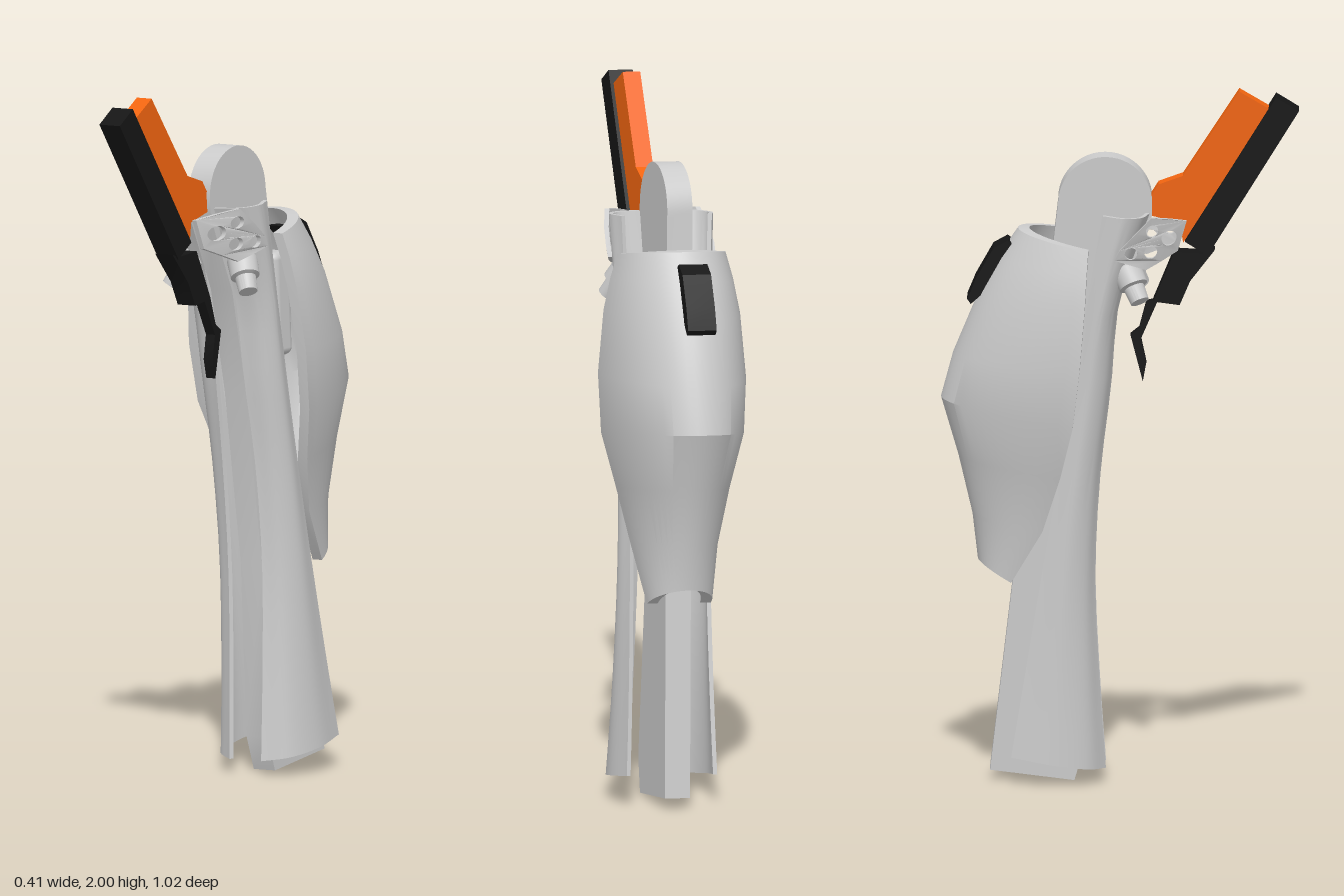
import * as THREE from 'three';
import { toCreasedNormals } from 'three/addons/utils/BufferGeometryUtils.js';
import { RoundedBoxGeometry } from 'three/addons/geometries/RoundedBoxGeometry.js';

const grey = new THREE.MeshStandardMaterial({ color: 0xcccccc, side: THREE.DoubleSide });
const black = new THREE.MeshStandardMaterial({ color: 0x161616 });
const orange = new THREE.MeshStandardMaterial({ color: 0xf26510 });
const lerp = THREE.MathUtils.lerp;

function mesh(name, geometry, material) {
  const m = new THREE.Mesh(geometry, material);
  m.name = name;
  return m;
}

// Side profile in (z, y), given a width across x
function slab(name, points, width, material) {
  const shape = new THREE.Shape(points.map(([z, y]) => new THREE.Vector2(z, y)));
  const g = new THREE.ExtrudeGeometry(shape, { depth: width, bevelEnabled: false });
  g.translate(0, 0, -width / 2).rotateY(-Math.PI / 2);
  return mesh(name, toCreasedNormals(g, 0.5), material);
}

// Thick open shell lofted through rows of points, top row first
function shell(name, rows, thickness) {
  const n = rows[0].length;
  const rings = rows.map(row => {
    const inner = row.map((p, i) => {
      const d = row[Math.min(i + 1, n - 1)].clone().sub(row[Math.max(i - 1, 0)]).setY(0).normalize();
      return new THREE.Vector3(p.x + d.z * thickness, p.y, p.z - d.x * thickness);
    });
    return [...row, ...inner.reverse()];
  });
  const pos = [];
  const quad = (a, b, c, d) => [a, b, c, a, c, d].forEach(p => pos.push(p.x, p.y, p.z));
  const m = 2 * n;
  for (let r = 0; r < rings.length - 1; r++) {
    const p = rings[r], q = rings[r + 1];
    for (let i = 0; i < m; i++) {
      const j = (i + 1) % m;
      quad(p[i], q[i], q[j], p[j]);
    }
  }
  const top = rings[0], end = rings[rings.length - 1];
  for (let i = 0; i < n - 1; i++) {
    quad(top[i], top[i + 1], top[m - 2 - i], top[m - 1 - i]);
    quad(end[i], end[m - 1 - i], end[m - 2 - i], end[i + 1]);
  }
  const g = new THREE.BufferGeometry();
  g.setAttribute('position', new THREE.Float32BufferAttribute(pos, 3));
  return mesh(name, toCreasedNormals(g, 0.4), grey);
}

// Half-oval calf cover: [front y, front z, back y, back z, half width]
function calfCover() {
  const rows = [
    [1.56, -0.09, 1.6, -0.29, 0.155],
    [1.49, -0.095, 1.52, -0.345, 0.175],
    [1.4, -0.1, 1.42, -0.4, 0.193],
    [1.22, -0.115, 1.24, -0.475, 0.207],
    [1.05, -0.135, 1.11, -0.51, 0.197],
    [0.9, -0.17, 0.94, -0.46, 0.158],
    [0.74, -0.22, 0.77, -0.42, 0.122],
    [0.585, -0.31, 0.64, -0.405, 0.095],
  ].map(([yF, zF, yB, zB, w]) => Array.from({ length: 29 }, (_, i) => {
    const a = Math.PI * i / 28, s = Math.sin(a);
    return new THREE.Vector3(w * Math.cos(a), lerp(yF, yB, s), lerp(zF, zB, s));
  }));
  return shell('calfCover', rows, 0.032);
}

// Curved shin plate, swept back towards the heel
function shinPlate() {
  const front = new THREE.CatmullRomCurve3([
    [0.045, 1.65, 0.085], [0.045, 1.4, 0], [0.05, 1.15, -0.025], [0.058, 0.9, -0.055],
    [0.06, 0.6, -0.07], [0.058, 0.3, -0.058], [0.056, 0.04, -0.04],
  ].map(p => new THREE.Vector3(...p)));
  const rows = [];
  for (let r = 0; r <= 16; r++) {
    const v = r / 16, f = front.getPoint(v);
    const yB = lerp(1.66, 0.085, v), zB = lerp(-0.05, -0.31, v);
    const w = 0.135 + 0.018 * Math.pow(2 * v - 1, 2);
    const d = zB - f.z;
    const section = new THREE.CatmullRomCurve3([
      new THREE.Vector3(f.x, f.y, f.z),
      new THREE.Vector3(w * 0.8, lerp(f.y, yB, 0.18), f.z + d * 0.18),
      new THREE.Vector3(w, lerp(f.y, yB, 0.55), f.z + d * 0.55),
      new THREE.Vector3(w * 0.88, yB, zB),
    ]);
    rows.push(section.getPoints(16));
  }
  return shell('shinPlate', rows, 0.012);
}

// Perforated knee bracket, bent around the knee
function kneeBracket() {
  const outline = [[0.19, 1.63], [0.14, 1.645], [0.09, 1.655], [0.045, 1.61], [0, 1.565],
    [-0.015, 1.535], [0.03, 1.518], [0.075, 1.5], [0.12, 1.522], [0.165, 1.545]];
  const shape = new THREE.Shape(outline.map(p => new THREE.Vector2(...p)));
  for (const [z, y, r] of [[0.14, 1.588, 0.022], [0.092, 1.615, 0.018], [0.088, 1.552, 0.019], [0.032, 1.553, 0.018]]) {
    shape.holes.push(new THREE.Path().absarc(z, y, r, 0, Math.PI * 2, true));
  }
  const g = new THREE.ExtrudeGeometry(shape, { depth: 0.014, bevelEnabled: false, curveSegments: 8 });
  g.rotateY(-Math.PI / 2);
  const p = g.attributes.position;
  for (let i = 0; i < p.count; i++) {
    const z = p.getZ(i);
    p.setX(i, p.getX(i) + 0.165 - 0.25 * z - 1.9 * z * z + 0.2 * (p.getY(i) - 1.58));
  }
  return mesh('kneeBracket', toCreasedNormals(g, 0.6), grey);
}

// Stepped nozzle pointing down and outwards
function nozzle() {
  const profile = [[0, 0], [0.032, 0], [0.044, 0.012], [0.042, 0.065], [0.03, 0.07], [0.027, 0.115], [0, 0.115]]
    .map(p => new THREE.Vector2(...p)).reverse();
  const m = mesh('nozzle', toCreasedNormals(new THREE.LatheGeometry(profile, 24), 0.5), grey);
  m.position.set(0.085, 1.505, 0.015);
  m.quaternion.setFromUnitVectors(new THREE.Vector3(0, 1, 0), new THREE.Vector3(0.055, -0.1, 0.045).normalize());
  return m;
}

export function createModel() {
  const root = new THREE.Group();
  const leg = new THREE.Group();
  leg.name = 'lowerLeg';
  // The whole leg leans slightly sideways
  leg.position.x = 0.052;
  leg.rotation.z = 0.04;
  root.add(leg);

  // Central bone with a round knee head
  const head = Array.from({ length: 25 }, (_, i) => {
    const a = Math.PI * (1 - i / 24);
    return [-0.042 + 0.134 * Math.cos(a), 1.678 + 0.134 * Math.sin(a)];
  });
  leg.add(slab('shinBone', [[-0.37, 0.03], ...head, [0.09, 1.62], [0, 1.4], [-0.05, 1.1],
    [-0.1, 0.6], [-0.1, 0.1], [-0.13, 0]], 0.075, grey));

  // Mirrored plates, brackets and nozzles
  for (const side of [1, -1]) {
    const half = new THREE.Group();
    half.name = side > 0 ? 'leftSide' : 'rightSide';
    half.scale.x = side;
    half.add(shinPlate(), kneeBracket(), nozzle());
    leg.add(half);
  }

  // Calf cover, its inner mount and the rear clip
  leg.add(calfCover());
  const mount = mesh('calfMount', new RoundedBoxGeometry(0.08, 0.3, 0.08, 3, 0.022), grey);
  mount.position.set(0.005, 1.33, -0.24);
  leg.add(mount);
  leg.add(slab('rearClip', [[-0.285, 1.545], [-0.32, 1.57], [-0.36, 1.548], [-0.41, 1.46], [-0.435, 1.4],
    [-0.425, 1.385], [-0.375, 1.43]], 0.085, black));

  // Raised thigh strut and its black front rail
  leg.add(slab('thighStrut', [[0.34, 2], [0.425, 1.95], [0.18, 1.56], [0.17, 1.62], [0.085, 1.64],
    [0.085, 1.69], [0.11, 1.73], [0.18, 1.755]], 0.052, orange));
  leg.add(slab('frontRail', [[0.445, 1.985], [0.51, 1.945], [0.25, 1.525], [0.185, 1.565]], 0.072, black));

  // Knee guard and its pointed tail
  leg.add(slab('kneeGuard', [[0.27, 1.54], [0.24, 1.53], [0.155, 1.535], [0.095, 1.39], [0.17, 1.38],
    [0.2, 1.45]], 0.062, black));
  leg.add(slab('kneeGuardTail', [[0.11, 1.395], [0.075, 1.385], [0.055, 1.31], [0.03, 1.29], [0.065, 1.155],
    [0.075, 1.21], [0.06, 1.28]], 0.032, black));
  return root;
}
